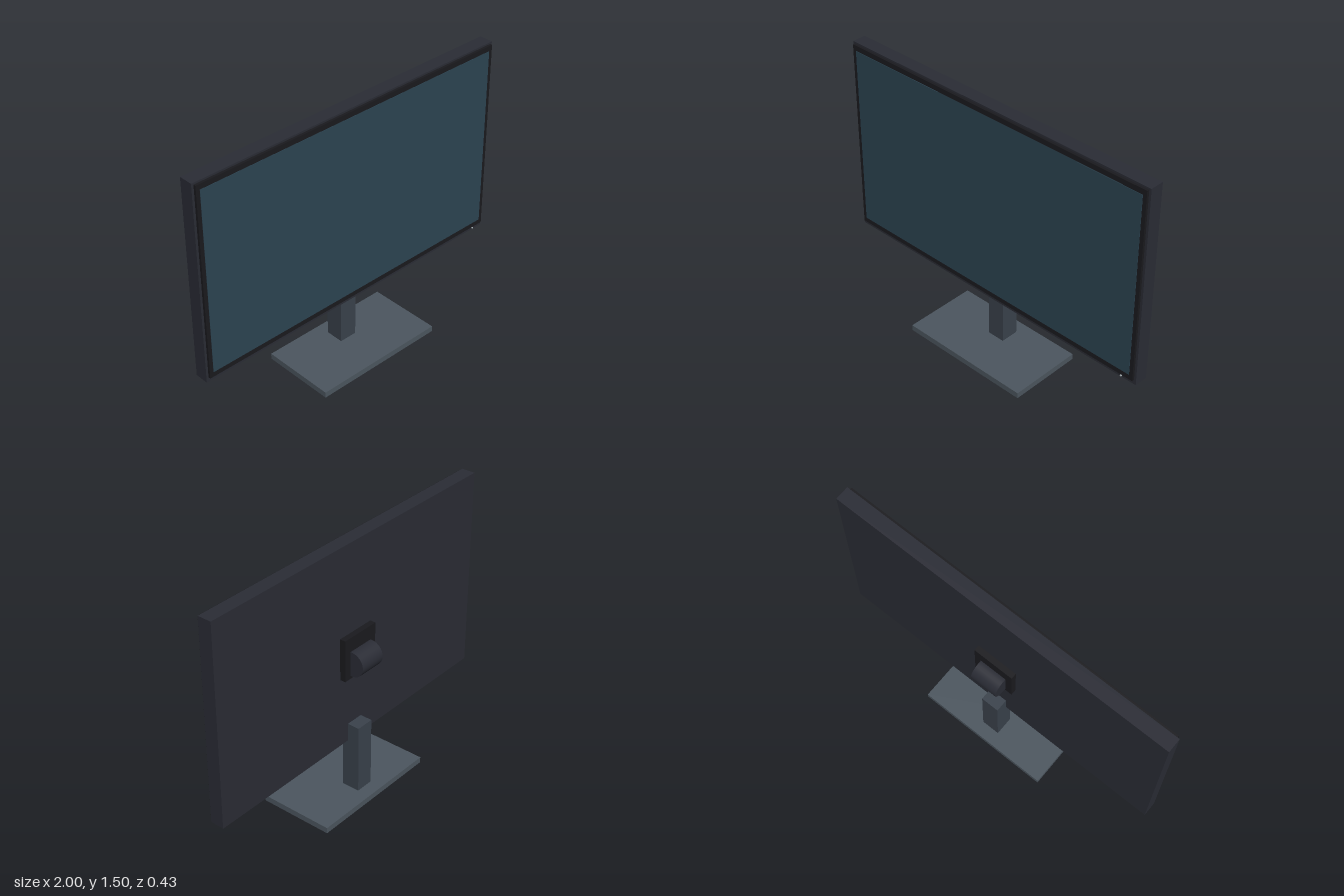
import * as THREE from 'three';

const material = (color) => new THREE.MeshStandardMaterial({ color });

export function createModel() {
  const model = new THREE.Group();
  model.name = 'monitor';

  const shell = material(0x2a2c35);
  const black = material(0x1a1a1e);
  const glass = material(0x2c4452);
  const column = material(0x3a424c);
  const foot = material(0x4c565f);

  const add = (name, geometry, mat, x, y, z) => {
    const mesh = new THREE.Mesh(geometry, mat);
    mesh.name = name;
    mesh.position.set(x, y, z);
    model.add(mesh);
    return mesh;
  };
  // Box given by its x half-width and its y and z ranges
  const box = (name, mat, halfX, y0, y1, z0, z1) =>
    add(name, new THREE.BoxGeometry(halfX * 2, y1 - y0, z1 - z0), mat, 0, (y0 + y1) / 2, (z0 + z1) / 2);

  // Stand
  box('base', foot, 0.4, 0, 0.034, -0.217, 0.217);
  box('standColumn', column, 0.053, 0.034, 0.44, -0.142, -0.035);

  // Display
  box('displayBody', shell, 1, 0.333, 1.5, -0.07, 0.01);
  box('bezel', black, 0.987, 0.36, 1.49, 0.01, 0.024);
  box('screen', glass, 0.965, 0.39, 1.46, 0.02, 0.026);

  // Rear mount: plate with a horizontal hinge barrel
  box('mountPlate', black, 0.12, 0.75, 0.993, -0.107, -0.074);
  const hinge = add('hingeBarrel', new THREE.CylinderGeometry(0.071, 0.071, 0.16, 32), shell, 0, 0.841, -0.118);
  hinge.rotation.z = Math.PI / 2;

  // Power light below the bezel
  add('powerLight', new THREE.SphereGeometry(0.006, 12, 8), material(0x9aa4a8), 0.915, 0.355, 0.024);

  return model;
}
